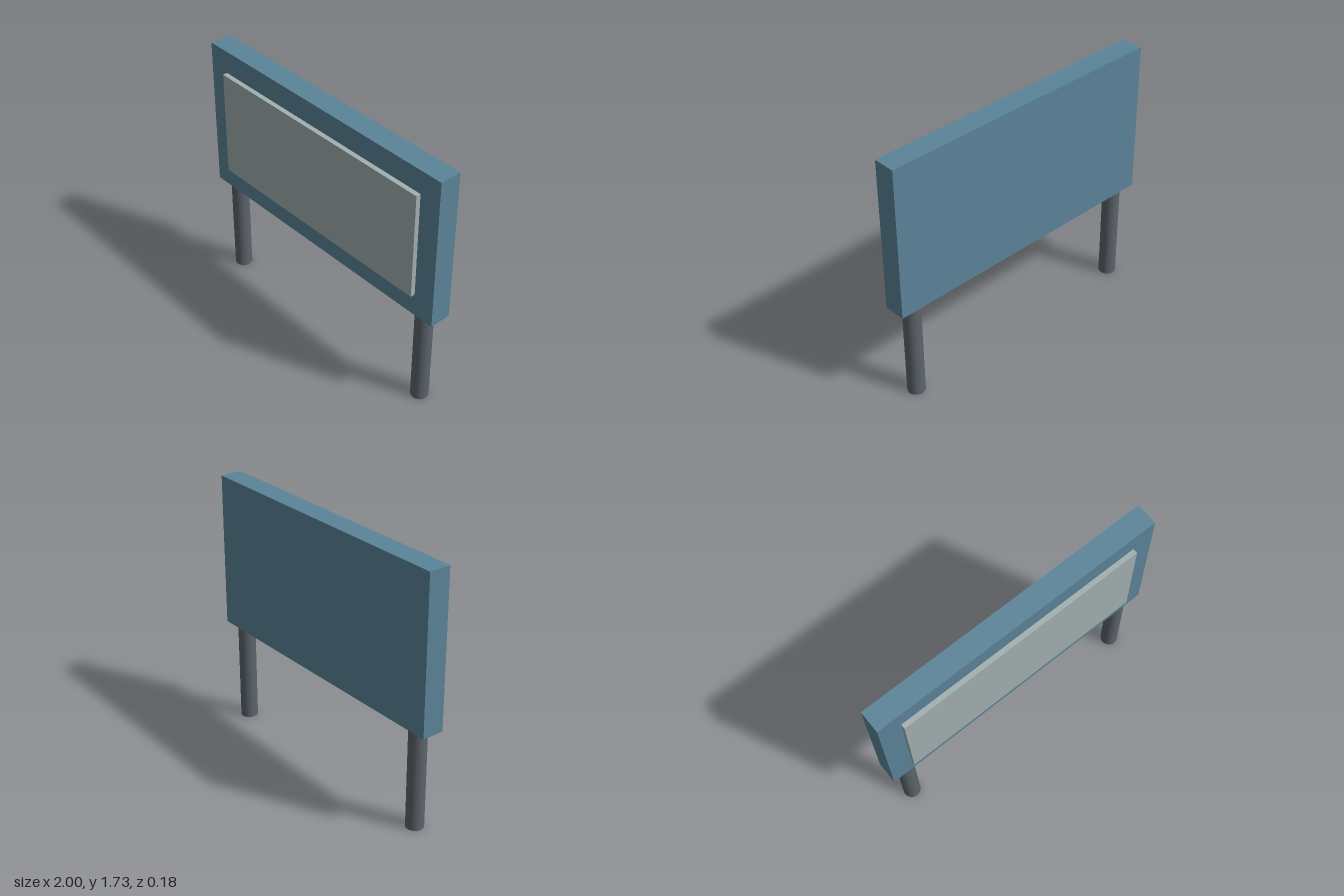
import * as THREE from 'three';

const material = (color) => new THREE.MeshStandardMaterial({ color });

function addPart(group, name, geometry, mat, x, y, z) {
  const mesh = new THREE.Mesh(geometry, mat);
  mesh.name = name;
  mesh.position.set(x, y, z);
  group.add(mesh);
}

export function createModel() {
  const model = new THREE.Group();
  model.name = 'billboard';

  const blue = material(0x5b8499);
  const paleGrey = material(0xa3b0b0);
  const darkGrey = material(0x5c646c);

  // Thick backing board
  addPart(model, 'board', new THREE.BoxGeometry(2, 1.04, 0.147), blue, 0, 1.21, -0.015);

  // Raised display panel on the front of the board
  addPart(model, 'displayPanel', new THREE.BoxGeometry(1.706, 0.73, 0.032), paleGrey, 0, 1.21, 0.0745);

  // Round posts under each end
  const post = new THREE.CylinderGeometry(0.058, 0.058, 0.69, 32);
  for (const side of [-1, 1]) {
    addPart(model, side > 0 ? 'leftPost' : 'rightPost', post, darkGrey, side * 0.873, 0.345, -0.015);
  }

  return model;
}
